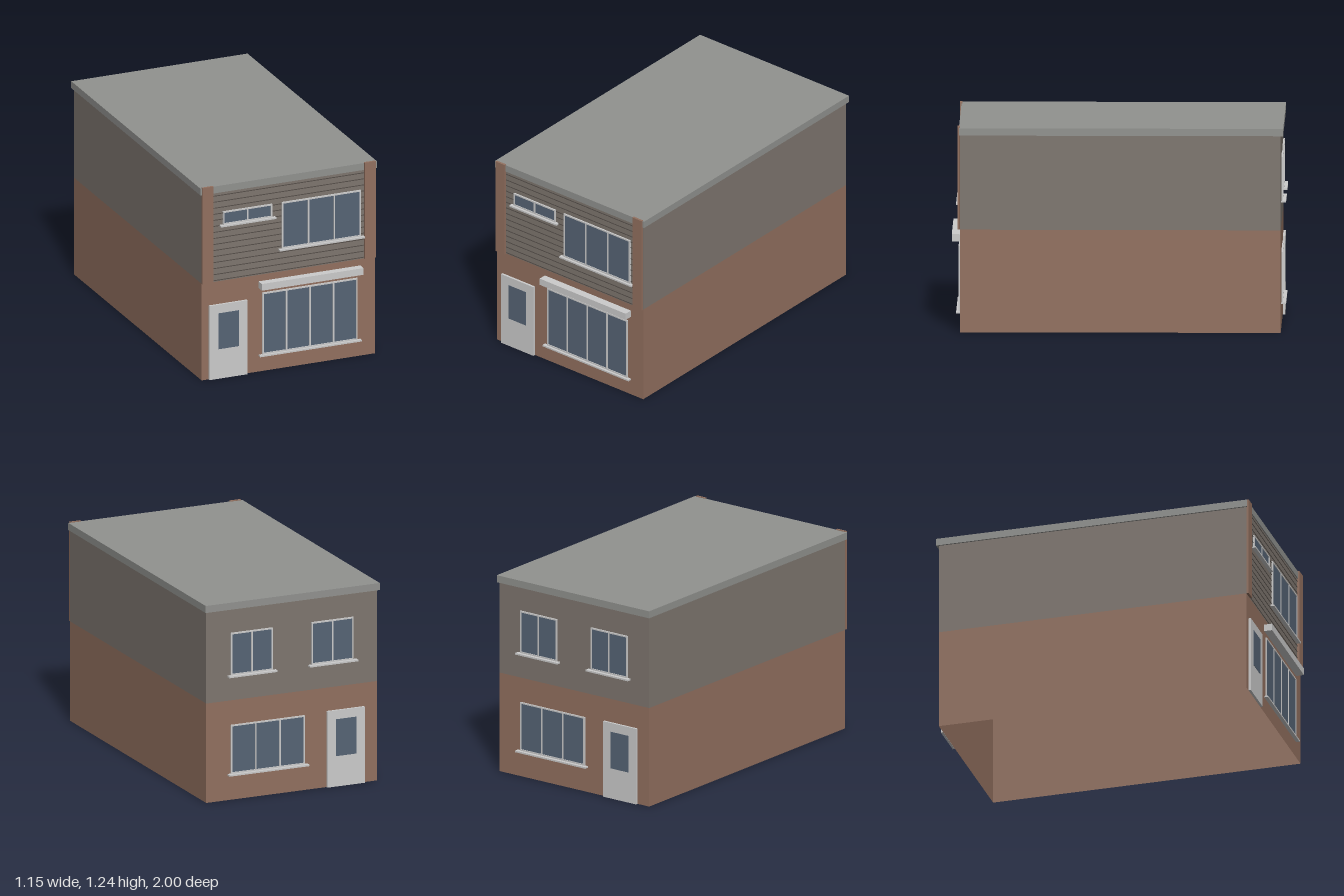
import * as THREE from 'three';

const mat = (color, side = THREE.FrontSide) =>
  new THREE.MeshStandardMaterial({ color, side });

const BRICK = 0x92705f, RENDER = 0x7e766f;
const brick = mat(BRICK), brickWall = mat(BRICK, THREE.DoubleSide);
const renderWall = mat(RENDER, THREE.DoubleSide);
const groove = mat(0x554e49), white = mat(0xcccccc);
const glass = mat(0x566475), roofGrey = mat(0x91928f);

const HALF_W = 0.565, FRONT = 0.95, BACK = -0.97, FLOOR = 0.62, EAVES = 1.19;

export function createModel() {
  const model = new THREE.Group();
  model.name = 'terracedShop';

  // Box given by its limits on each axis
  const box = (name, x0, x1, y0, y1, z0, z1, material, parent = model) => {
    const mesh = new THREE.Mesh(new THREE.BoxGeometry(x1 - x0, y1 - y0, z1 - z0), material);
    mesh.position.set((x0 + x1) / 2, (y0 + y1) / 2, (z0 + z1) / 2);
    mesh.name = name;
    parent.add(mesh);
    return mesh;
  };

  // Hollow shell: four thin walls per storey, open underneath
  const storey = (name, y0, y1, material) => {
    const group = new THREE.Group();
    group.name = name;
    const depth = FRONT - BACK, midZ = (FRONT + BACK) / 2;
    const wall = (label, width, x, z, turn) => {
      const mesh = new THREE.Mesh(new THREE.PlaneGeometry(width, y1 - y0), material);
      mesh.position.set(x, (y0 + y1) / 2, z);
      mesh.rotation.y = turn;
      mesh.name = label;
      group.add(mesh);
    };
    wall('frontWall', HALF_W * 2, 0, FRONT, 0);
    wall('backWall', HALF_W * 2, 0, BACK, Math.PI);
    wall('leftWall', depth, HALF_W, midZ, Math.PI / 2);
    wall('rightWall', depth, -HALF_W, midZ, -Math.PI / 2);
    model.add(group);
  };
  storey('groundFloorWalls', 0, FLOOR, brickWall);
  storey('upperFloorWalls', FLOOR, EAVES, renderWall);

  // Flat roof slab
  box('roof', -0.575, 0.575, EAVES, 1.234, -0.985, 0.956, roofGrey);

  // Brick piers framing the upper front
  box('rightPier', -HALF_W, -0.493, FLOOR, 1.238, FRONT + 0.001, 0.965, brick);
  box('leftPier', 0.493, HALF_W, FLOOR, 1.238, FRONT + 0.001, 0.965, brick);

  // Shadow lines of the horizontal cladding
  for (let i = 0; i < 15; i++) {
    const y = 0.626 + i * 0.0387;
    box('claddingLine', -0.493, 0.493, y, y + 0.005, FRONT + 0.001, FRONT + 0.003, groove);
  }

  // Group standing on a facade: local +z points out of the wall.
  // On the back the group is turned, so local x is the negated world x.
  const facade = (name, back) => {
    const group = new THREE.Group();
    group.name = name;
    group.position.z = back ? BACK : FRONT;
    if (back) group.rotation.y = Math.PI;
    model.add(group);
    return group;
  };

  // Framed window with mullions, glass and a projecting sill
  const addWindow = (parent, name, x0, x1, y0, y1, panes, sillOut) => {
    const group = new THREE.Group();
    group.name = name;
    parent.add(group);
    const t = 0.009, d = 0.01;
    box('glass', x0 + t, x1 - t, y0 + t, y1 - t, 0.001, 0.006, glass, group);
    box('frameBottom', x0, x1, y0, y0 + t, 0.001, d, white, group);
    box('frameTop', x0, x1, y1 - t, y1, 0.001, d, white, group);
    for (let i = 0; i <= panes; i++) {
      const x = x0 + (x1 - x0 - t) * i / panes;
      box('framePost', x, x + t, y0 + t, y1 - t, 0.001, d, white, group);
    }
    box('sill', x0 - 0.021, x1 + 0.021, y0 - 0.01, y0, 0.001, sillOut, white, group);
  };

  // Door leaf with a glazed panel
  const addDoor = (parent, x0) => {
    const group = new THREE.Group();
    group.name = 'door';
    parent.add(group);
    box('doorLeaf', x0, x0 + 0.248, 0, 0.475, 0.001, 0.015, white, group);
    box('doorGlass', x0 + 0.057, x0 + 0.191, 0.19, 0.42, 0.008, 0.017, glass, group);
  };

  // Street side
  const front = facade('frontOpenings', false);
  addDoor(front, -0.52);
  addWindow(front, 'shopWindow', -0.172, 0.449, 0.109, 0.504, 4, 0.024);
  addWindow(front, 'smallUpperWindow', -0.428, -0.108, 0.981, 1.065, 2, 0.024);
  addWindow(front, 'largeUpperWindow', -0.044, 0.47, 0.768, 1.065, 3, 0.024);
  box('shopCanopy', -0.194, 0.47, 0.536, 0.579, 0.001, 0.05, white, front);

  // Garden side
  const back = facade('backOpenings', true);
  addDoor(back, 0.228);
  addWindow(back, 'backGroundWindow', -0.405, 0.083, 0.164, 0.468, 3, 0.03);
  addWindow(back, 'backUpperWindow', -0.405, -0.128, 0.778, 1.042, 2, 0.03);
  addWindow(back, 'backUpperWindow', 0.128, 0.405, 0.778, 1.042, 2, 0.03);

  return model;
}
